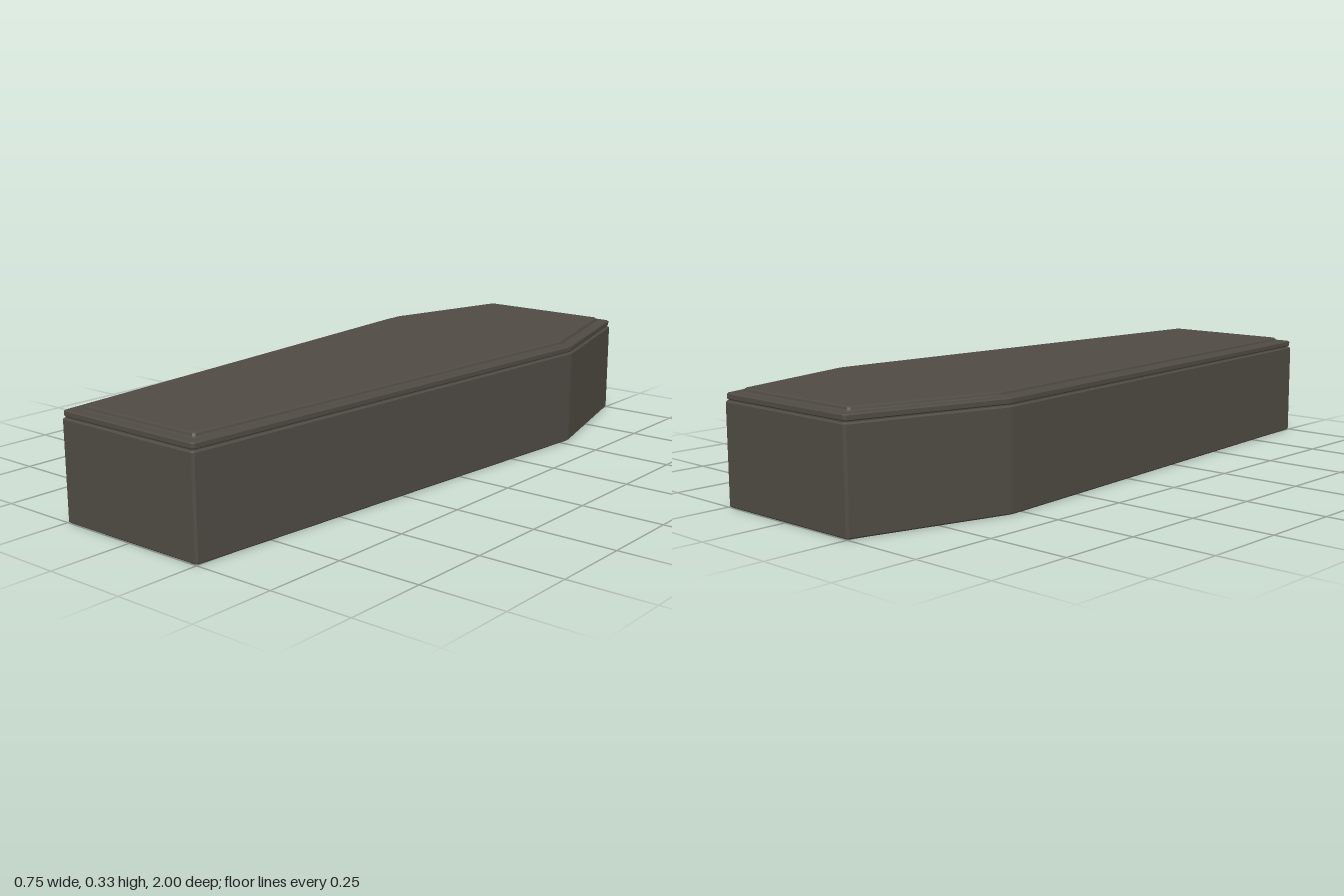
import * as THREE from 'three';

const wood = new THREE.MeshStandardMaterial({ color: 0x504b44 });
wood.name = 'darkWood';

// Six-sided plan, counter-clockwise from above, as (x, -z)
const half = [[0.25, -1], [0.375, 0.54], [0.25, 1]];
const plan = [...half, ...half.map(([x, v]) => [-x, v]).reverse()].map(([x, v]) => new THREE.Vector2(x, v));

// Plan moved inwards by a distance, with each corner slightly cut
function ring(inset, y, cut = 0.006) {
  const n = plan.length;
  const points = [];
  plan.forEach((p, i) => {
    const before = p.clone().sub(plan[(i + n - 1) % n]).normalize();
    const after = plan[(i + 1) % n].clone().sub(p).normalize();
    const n1 = new THREE.Vector2(-before.y, before.x);
    const n2 = new THREE.Vector2(-after.y, after.x);
    const corner = n1.clone().add(n2).multiplyScalar(inset / (1 + n1.dot(n2))).add(p);
    for (const q of [corner.clone().addScaledVector(before, -cut), corner.clone().addScaledVector(after, cut)]) {
      points.push([q.x, y, -q.y]);
    }
  });
  return points;
}

// Closed solid through a profile of [inset, height] steps
function loft(name, profile) {
  const rings = profile.map(([inset, y]) => ring(inset, y));
  const pos = [];
  const tri = (a, b, c) => pos.push(...a, ...b, ...c);
  const n = rings[0].length;
  for (let r = 0; r < rings.length - 1; r++) {
    const lo = rings[r], hi = rings[r + 1];
    for (let i = 0; i < n; i++) {
      const j = (i + 1) % n;
      tri(lo[i], lo[j], hi[j]);
      tri(lo[i], hi[j], hi[i]);
    }
  }
  const bottom = rings[0], top = rings[rings.length - 1];
  for (let i = 1; i < n - 1; i++) {
    tri(bottom[0], bottom[i + 1], bottom[i]);
    tri(top[0], top[i], top[i + 1]);
  }
  const geometry = new THREE.BufferGeometry();
  geometry.setAttribute('position', new THREE.Float32BufferAttribute(pos, 3));
  geometry.computeVertexNormals();
  const mesh = new THREE.Mesh(geometry, wood);
  mesh.name = name;
  return mesh;
}

export function createModel() {
  const group = new THREE.Group();
  group.name = 'coffin';
  group.add(
    // Deep body with eased edges
    loft('body', [[0.004, 0], [0, 0.004], [0, 0.289], [0.004, 0.293]]),
    // Recessed seam under the lid
    loft('seam', [[0.007, 0.292], [0.007, 0.298]]),
    // Lid rim
    loft('lidRim', [[0.006, 0.296], [0.003, 0.299], [0.003, 0.311], [0.006, 0.314]]),
    // Raised lid panel with a moulded edge
    loft('lidPanel', [[0.034, 0.313], [0.038, 0.317], [0.04, 0.323], [0.044, 0.326]])
  );
  return group;
}
